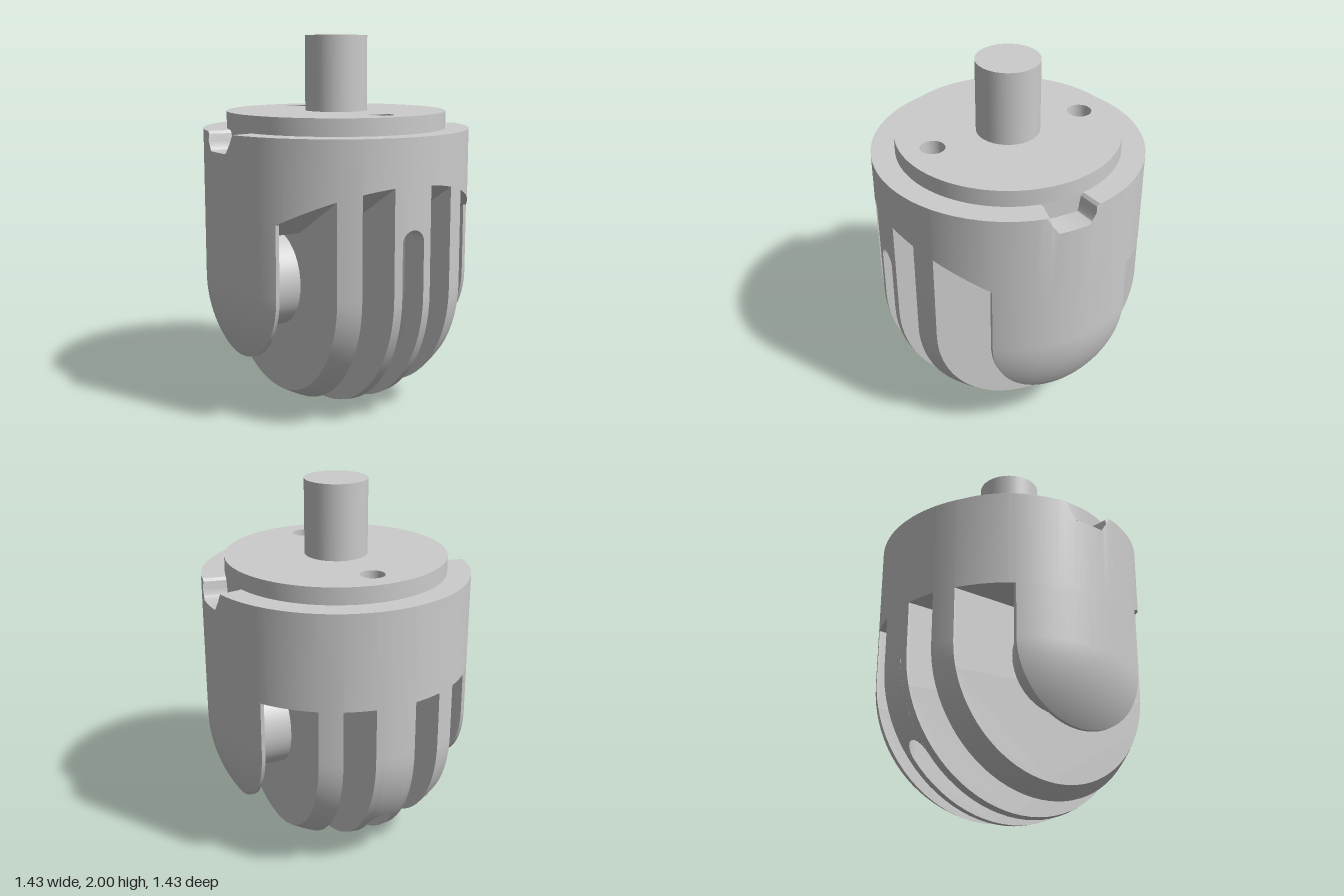
import * as THREE from 'three';
import { toCreasedNormals } from 'three/addons/utils/BufferGeometryUtils.js';

const R = 0.715, C = 0.715, TOP = 1.51; // body radius, dome centre height, shoulder height
const EAR = 0.39, HOLE = 0.065, HOLE_Z = 0.425, TILT = 0.087;
const grey = new THREE.MeshStandardMaterial({ color: 0xcccccc, side: THREE.DoubleSide });

const halfWidth = x => Math.sqrt(Math.max(0, R * R - x * x));
const ceiling = z => 1 + Math.max(0, z - 0.247) * 0.577; // slot roof, sloping up to the front
const holeHalf = x => Math.sqrt(Math.max(0, HOLE * HOLE - x * x));
const floorRadius = x => 0.53 + HOLE - holeHalf(x); // rounded floor of the groove

// Arc in the z-y plane, front (0) through bottom to back (PI)
function arc(r, t0, t1, n = 40) {
  const pts = [];
  for (let i = 0; i <= n; i++) {
    const t = t0 + (t1 - t0) * i / n;
    pts.push([r * Math.cos(t), C - r * Math.sin(t)]);
  }
  return pts;
}

// Angle at which a wall of the tilted rear hole meets a circle of radius r
function rearHit(r, offset) {
  let y = 0.4, z = 0;
  for (let i = 0; i < 25; i++) {
    z = -HOLE_Z - TILT * (TOP - y) + offset;
    y = C - Math.sqrt(Math.max(0, r * r - z * z));
  }
  return Math.acos(z / r);
}

// Height of the rim across the side notch; u is z over the notch half width
const notch = [[0.75, 1.41], [0.85, 1.415], [0.93, 1.43], [0.97, 1.46], [1.03, 1.495], [1.15, TOP]];
function notchHeight(u) {
  if (u <= notch[0][0]) return notch[0][1];
  for (let i = 1; i < notch.length; i++) {
    const [a, ya] = notch[i - 1], [b, yb] = notch[i];
    if (u <= b) return ya + (yb - ya) * (u - a) / (b - a);
  }
  return TOP;
}

// Cross-sections [z, y] at a given x, clockwise from the front top
const finSection = x => {
  const w = halfWidth(x);
  return [[w, TOP], ...arc(w, 0, Math.PI), [-w, TOP]];
};
const slotSection = x => {
  const w = halfWidth(x);
  return [[w, TOP], [w, ceiling(w)], [0.247, 1], [-w, 1], [-w, TOP]];
};
const earSection = x => {
  const w = halfWidth(x), r = Math.min(EAR, w), zn = 0.175 * Math.abs(x);
  const rim = notch.map(([u]) => {
    const z = Math.min(u * zn, w);
    return [z, notchHeight(z / zn)];
  });
  const edge = notchHeight(w / zn);
  return [[w, edge], [w, ceiling(w)], [r, ceiling(r)], ...arc(r, 0, Math.PI), [-r, 1], [-w, 1], [-w, edge],
    ...rim.map(([z, y]) => [-z, y]).reverse(), ...rim];
};
// Middle of the centre fin, divided by the two vertical holes
const frontWallSection = x => {
  const w = halfWidth(x), h = holeHalf(x), rf = floorRadius(x), z = HOLE_Z + h;
  return [[w, TOP], [w, 0.985 + h], [rf, 0.985 + h], ...arc(rf, 0, Math.acos(z / rf), 16), [z, TOP]];
};
const coreSection = x => {
  const h = holeHalf(x), rf = floorRadius(x), z = HOLE_Z - h;
  return [[z, TOP], ...arc(rf, Math.acos(z / rf), rearHit(rf, h)), [-HOLE_Z + h, TOP]];
};
const rearWallSection = x => {
  const w = halfWidth(x), h = holeHalf(x);
  return [[-HOLE_Z - h, TOP], ...arc(w, rearHit(w, -h), Math.PI, 16), [-w, TOP]];
};

// Loft sections between x0 and x1 and close both ends
function slab(x0, x1, n, section) {
  const rings = [], pos = [];
  for (let i = 0; i <= n; i++) {
    const x = (x0 + x1) / 2 - (x1 - x0) / 2 * Math.cos(Math.PI * i / n);
    rings.push(section(x).reverse().map(([z, y]) => [x, y, z]));
  }
  const tri = (a, b, c) => pos.push(...a, ...b, ...c);
  for (let i = 0; i < n; i++) {
    const a = rings[i], b = rings[i + 1], m = a.length;
    for (let j = 0; j < m; j++) {
      const k = (j + 1) % m;
      tri(a[j], b[k], a[k]);
      tri(a[j], b[j], b[k]);
    }
  }
  for (const [ring, dir] of [[rings[0], -1], [rings[n], 1]]) {
    const flat = ring.map(p => new THREE.Vector2(p[2], p[1]));
    for (const [i, j, k] of THREE.ShapeUtils.triangulateShape(flat, [])) {
      const ccw = THREE.ShapeUtils.area([flat[i], flat[j], flat[k]]) > 0;
      if (ccw === (dir < 0)) tri(ring[i], ring[j], ring[k]);
      else tri(ring[i], ring[k], ring[j]);
    }
  }
  const g = new THREE.BufferGeometry();
  g.setAttribute('position', new THREE.Float32BufferAttribute(pos, 3));
  return toCreasedNormals(g, 0.5);
}

export function createModel() {
  const model = new THREE.Group();
  const add = (name, geometry, x = 0, y = 0, z = 0) => {
    const mesh = new THREE.Mesh(geometry, grey);
    mesh.name = name;
    mesh.position.set(x, y, z);
    model.add(mesh);
    return mesh;
  };

  // Body slabs on both sides: fins, roofs over the slots, and outer ears
  const earEdge = Math.sqrt(R * R - EAR * EAR);
  const parts = [
    ['centreFinCheek', HOLE, 0.11, 2, finSection],
    ['innerSlotRoof', 0.11, 0.27, 4, slotSection],
    ['sideFin', 0.27, 0.38, 4, finSection],
    ['outerSlotRoof', 0.38, 0.58, 6, slotSection],
    ['earEdge', 0.58, earEdge, 2, earSection],
    ['ear', earEdge, R - 0.0005, 16, earSection],
  ];
  for (const [name, a, b, n, section] of parts) {
    add(name + 'Left', slab(a, b, n, section));
    add(name + 'Right', slab(-b, -a, n, section));
  }

  // Centre fin with its wrapped groove and through holes
  add('grooveFrontWall', slab(-HOLE, HOLE, 14, frontWallSection));
  add('centreFinCore', slab(-HOLE, HOLE, 14, coreSection));
  add('grooveRearWall', slab(-HOLE, HOLE, 14, rearWallSection));

  // Axle and small cross rod
  add('axle', new THREE.CylinderGeometry(0.255, 0.255, 1.17, 40), 0, 0.725, 0).rotation.z = Math.PI / 2;
  add('crossRod', new THREE.CylinderGeometry(0.065, 0.065, 0.56, 24), 0, 0.445, 0.15).rotation.z = Math.PI / 2;

  // Top plate with two holes
  const plate = new THREE.Shape().absarc(0, 0, 0.59, 0, Math.PI * 2);
  for (const s of [-1, 1]) plate.holes.push(new THREE.Path().absarc(0, s * HOLE_Z, HOLE, 0, Math.PI * 2, true));
  const plateGeo = new THREE.ExtrudeGeometry(plate, { depth: 0.09, bevelEnabled: false, curveSegments: 48 });
  add('topPlate', toCreasedNormals(plateGeo, 0.5), 0, TOP, 0).rotation.x = -Math.PI / 2;

  // Shaft
  add('shaft', new THREE.CylinderGeometry(0.167, 0.167, 0.41, 40), 0, 1.795, 0);
  return model;
}
